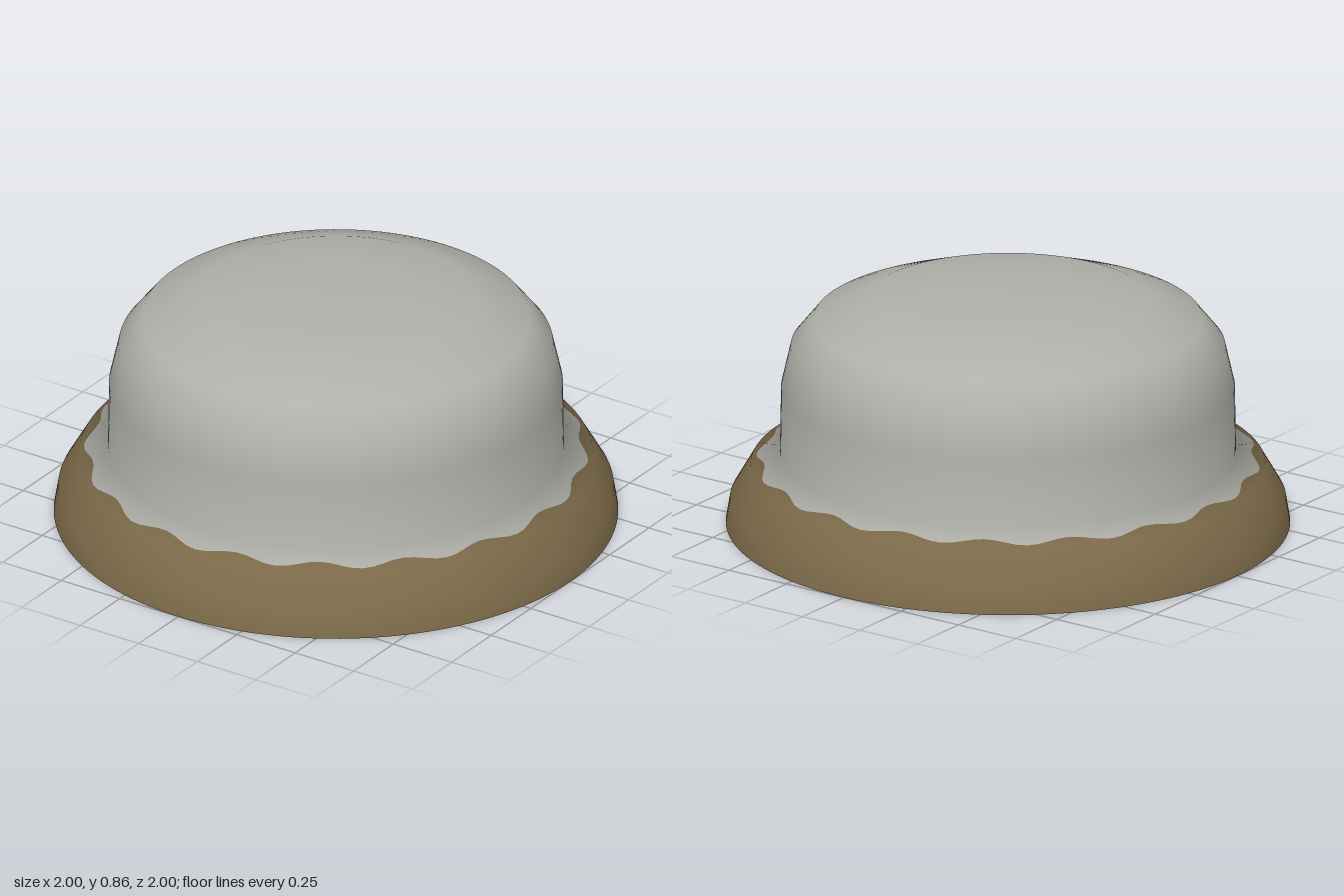
import * as THREE from 'three';

export function createModel() {
  const group = new THREE.Group();
  const brown = new THREE.MeshStandardMaterial({ color: 0x7d6b4a, side: THREE.DoubleSide });
  brown.name = 'brown';
  const grey = new THREE.MeshStandardMaterial({ color: 0xb0b0aa, side: THREE.DoubleSide });
  grey.name = 'grey';

  // Open-bottomed shell profile, from the base to the crown
  const SEAM = 3, SEGMENTS = 144;
  const profile = [
    [1, 0], [0.985, 0.09], [0.912, 0.217], [0.88, 0.23], [0.808, 0.26], [0.804, 0.51],
    [0.77, 0.66], [0.69, 0.76], [0.5, 0.832], [0.27, 0.855], [0, 0.86],
  ].map(([r, y]) => new THREE.Vector2(r, y));
  const shell = new THREE.LatheGeometry(profile, SEGMENTS);
  const pos = shell.attributes.position, normal = shell.attributes.normal;
  const n = profile.length;
  const below = profile[SEAM - 1], above = profile[SEAM + 1];

  // Wavy colour seam that slides along the sloping shelf, with blended normals
  const a = new THREE.Vector3(), b = new THREE.Vector3();
  for (let i = 0; i <= SEGMENTS; i++) {
    const phi = (i / SEGMENTS) * Math.PI * 2;
    const r = 0.88 + 0.015 * Math.cos(18 * phi);
    const t = (below.x - r) / (below.x - above.x);
    const k = i * n + SEAM;
    pos.setXYZ(k, r * Math.sin(phi), below.y + (above.y - below.y) * t, r * Math.cos(phi));
    a.fromBufferAttribute(normal, k - 1);
    b.fromBufferAttribute(normal, k + 1);
    a.lerp(b, t).normalize();
    normal.setXYZ(k, a.x, a.y, a.z);
  }

  // Each part takes its own bands of the shell
  function addBands(name, material, from, to) {
    const all = shell.index.array, index = [];
    for (let q = 0; q < all.length; q += 6) {
      const band = (q / 6) % (n - 1);
      if (band >= from && band < to) index.push(...all.slice(q, q + 6));
    }
    const geometry = shell.clone();
    geometry.setIndex(index);
    const mesh = new THREE.Mesh(geometry, material);
    mesh.name = name;
    group.add(mesh);
  }
  addBands('baseRim', brown, 0, SEAM);
  addBands('dome', grey, SEAM, n - 1);

  group.name = 'dome with rim';
  return group;
}
